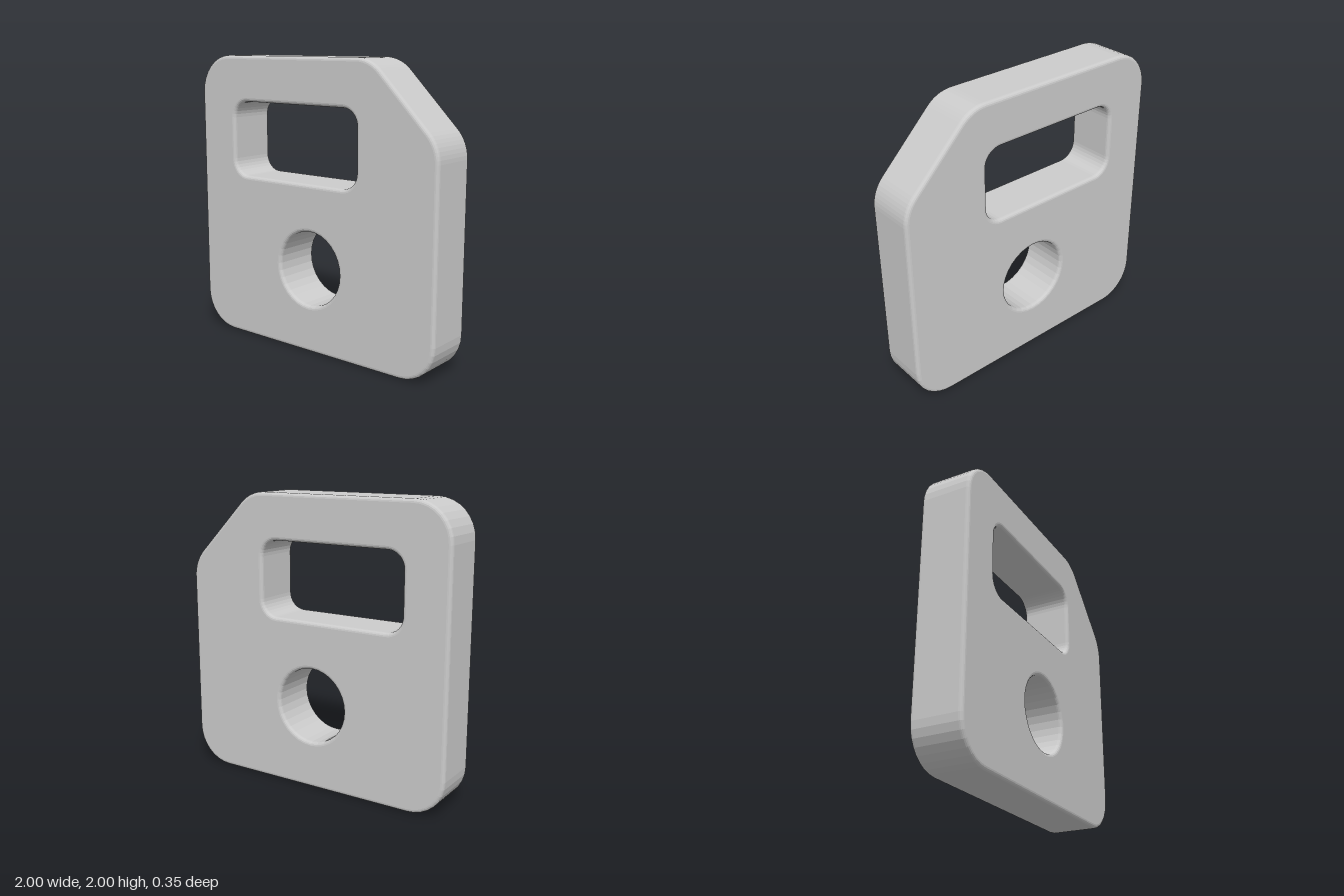
import * as THREE from 'three';

const BEVEL = 0.025;
const THICKNESS = 0.35;

// Convex counter-clockwise polygon with every corner rounded to radius r
function roundedPolygon(corners, r, steps = 8) {
  const pts = corners.map(([x, y]) => new THREE.Vector2(x, y));
  const out = [];
  pts.forEach((corner, i) => {
    const toPrev = pts.at(i - 1).clone().sub(corner).normalize();
    const toNext = pts[(i + 1) % pts.length].clone().sub(corner).normalize();
    const half = Math.acos(toPrev.dot(toNext)) / 2;
    const centre = toPrev.clone().add(toNext).setLength(r / Math.sin(half)).add(corner);
    const start = Math.atan2(-toPrev.y, -toPrev.x) - Math.PI / 2;
    const sweep = Math.PI - 2 * half;
    for (let k = 0; k <= steps; k++) {
      const a = start + (sweep * k) / steps;
      out.push(new THREE.Vector2(centre.x + r * Math.cos(a), centre.y + r * Math.sin(a)));
    }
  });
  return out;
}

function circle(cx, cy, r, steps) {
  return Array.from({ length: steps }, (_, k) => {
    const a = (k / steps) * Math.PI * 2;
    return new THREE.Vector2(cx + r * Math.cos(a), cy + r * Math.sin(a));
  });
}

export function createModel() {
  const model = new THREE.Group();
  model.name = 'plate';

  // Square plate outline with the upper corner on +x cut off
  const outline = new THREE.Shape(
    roundedPolygon([[-1, 0], [1, 0], [1, 1.495], [0.495, 2], [-1, 2]], 0.26)
  );

  // Rectangular window and round hole
  const window = roundedPolygon([[-0.68, 1.165], [0.395, 1.165], [0.395, 1.685], [-0.68, 1.685]], 0.115);
  const hole = circle(0, 0.585, 0.258, 32);
  outline.holes.push(new THREE.Path(window), new THREE.Path(hole));

  // Solid body with rounded rims on the outside and around both openings
  const geometry = new THREE.ExtrudeGeometry(outline, {
    depth: THICKNESS - 2 * BEVEL,
    bevelEnabled: true,
    bevelThickness: BEVEL,
    bevelSize: BEVEL,
    bevelOffset: -BEVEL,
    bevelSegments: 4,
  });
  geometry.translate(0, 0, BEVEL - THICKNESS / 2);

  const body = new THREE.Mesh(geometry, new THREE.MeshStandardMaterial({ color: 0xcccccc }));
  body.name = 'plateBody';
  model.add(body);
  return model;
}
